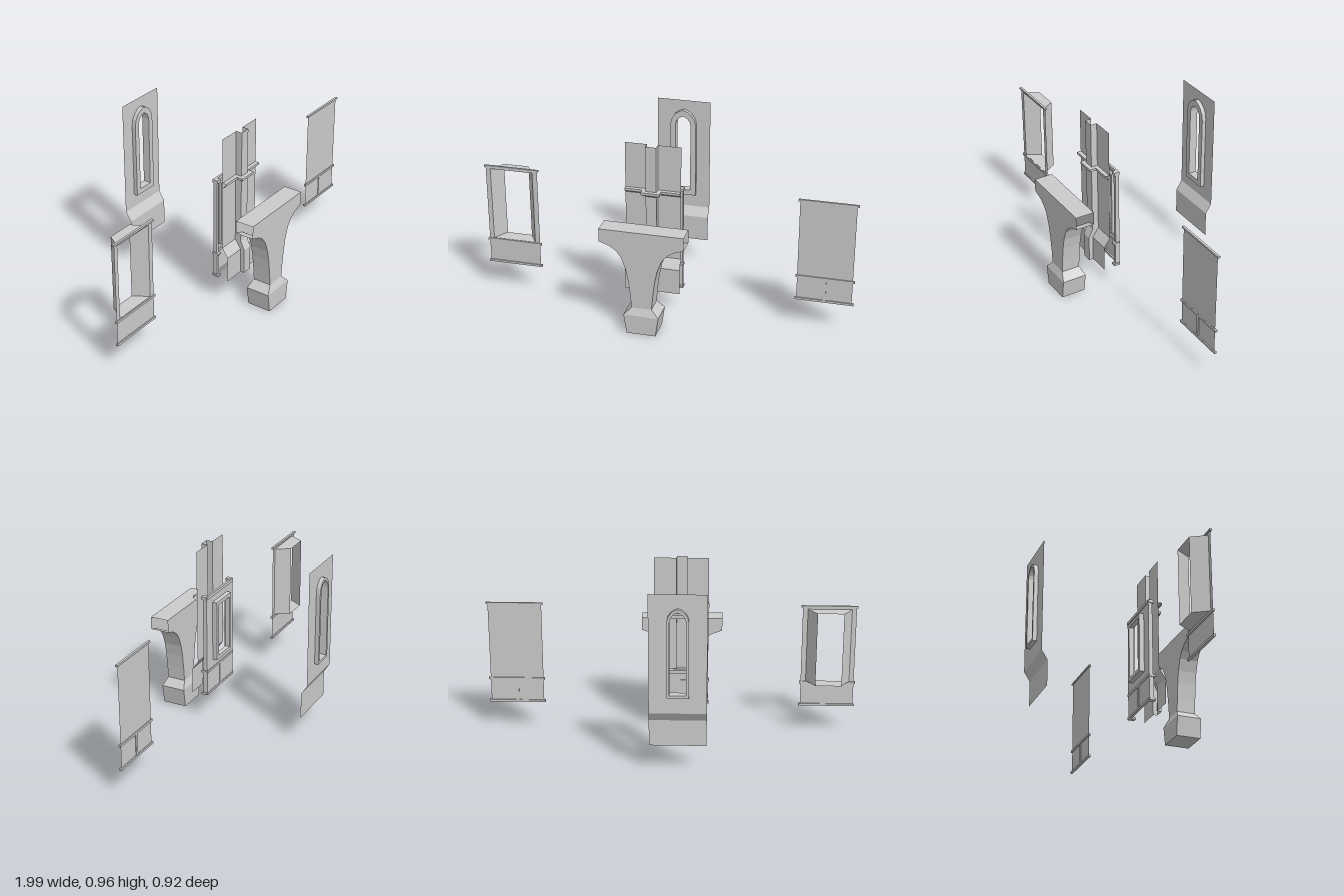
import * as THREE from 'three';

const material = new THREE.MeshStandardMaterial({ color: 0xcccccc, flatShading: true, side: THREE.DoubleSide });

function add(parent, name, geometry) {
  const mesh = new THREE.Mesh(geometry, material);
  mesh.name = name;
  parent.add(mesh);
  return mesh;
}

// Open surface through rows of [x, y, z] points
function loft(rows) {
  const pos = [];
  for (let i = 0; i < rows.length - 1; i++) {
    for (let j = 0; j < rows[i].length - 1; j++) {
      const a = rows[i][j], b = rows[i][j + 1], c = rows[i + 1][j + 1], d = rows[i + 1][j];
      pos.push(...a, ...b, ...c, ...a, ...c, ...d);
    }
  }
  const g = new THREE.BufferGeometry();
  g.setAttribute('position', new THREE.Float32BufferAttribute(pos, 3));
  g.computeVertexNormals();
  return g;
}

// Thin sheet: a [y, z] profile carried from x0 to x1
const sheet = (profile, x0, x1) => loft([x0, x1].map(x => profile.map(([y, z]) => [x, y, z])));

function box(parent, name, x0, x1, y0, y1, z0, z1) {
  add(parent, name, new THREE.BoxGeometry(x1 - x0, y1 - y0, z1 - z0))
    .position.set((x0 + x1) / 2, (y0 + y1) / 2, (z0 + z1) / 2);
}

const rectPoints = (x0, x1, y0, y1) => [[x0, y0], [x1, y0], [x1, y1], [x0, y1]];
const toVectors = pts => pts.map(([x, y]) => new THREE.Vector2(x, y));

function holed(outer, inner) {
  const s = new THREE.Shape(toVectors(outer));
  s.holes.push(new THREE.Path(toVectors(inner)));
  return s;
}

function flat(shape, z) {
  return new THREE.ShapeGeometry(shape).translate(0, 0, z);
}

function slab(shape, z0, z1) {
  return new THREE.ExtrudeGeometry(shape, { depth: z1 - z0, bevelEnabled: false }).translate(0, 0, z0);
}

// Window lining joining two rectangles at different depths
function lining(front, back, z0, z1) {
  const ring = (p, z) => [...p, p[0]].map(([x, y]) => [x, y, z]);
  return loft([ring(front, z0), ring(back, z1)]);
}

// Pointed-arch outline
function archPoints(cx, half, y0, spring, top) {
  const pts = [[cx - half, y0], [cx + half, y0]];
  const curve = [[1, 0], [0.9, 0.38], [0.66, 0.7], [0.34, 0.9]];
  curve.forEach(([u, v]) => pts.push([cx + half * u, spring + (top - spring) * v]));
  pts.push([cx, top]);
  curve.reverse().forEach(([u, v]) => pts.push([cx - half * u, spring + (top - spring) * v]));
  return pts;
}

const CX = -0.053, X0 = -0.2, X1 = 0.095;

function bracketPillar() {
  const g = new THREE.Group();
  g.name = 'bracketPillar';
  const cz = 0.393;
  // half width, height, half depth
  const levels = [
    [0.077, 0, 0.067], [0.093, 0.105, 0.067], [0.053, 0.145, 0.051], [0.06, 0.22, 0.051],
    [0.07, 0.3, 0.051], [0.083, 0.365, 0.051], [0.105, 0.425, 0.051], [0.13, 0.46, 0.051],
    [0.165, 0.485, 0.051], [0.222, 0.505, 0.051],
  ];
  const ring = ([w, y, d]) => [[-w, -d], [w, -d], [w, d], [-w, d], [-w, -d]].map(([x, z]) => [CX + x, y, cz + z]);
  add(g, 'pillarBody', loft(levels.map(ring)));
  const cap = (y, w, d) => loft([-d, d].map(z => [[CX - w, y, cz + z], [CX + w, y, cz + z]]));
  add(g, 'pillarFoot', cap(0, 0.077, 0.067));
  add(g, 'bracketTop', cap(0.575, 0.222, 0.051));
  for (const s of [-1, 1]) {
    add(g, 'bracketFace', sheet([[0.505, cz + s * 0.051], [0.575, cz + s * 0.051]], CX - 0.222, CX + 0.222));
  }
  return g;
}

function pilasterWall() {
  const g = new THREE.Group();
  g.name = 'pilasterWall';
  const a = -0.083, b = -0.027;
  const wall = [[0.14, 0.24], [0.28, 0.24], [0.33, 0.205], [0.96, 0.205]];
  const raised = [[0.14, 0.263], [0.28, 0.263], [0.33, 0.24], [0.96, 0.24]];
  add(g, 'wallRight', sheet(wall, X0, a));
  add(g, 'wallLeft', sheet(wall, b, X1));
  add(g, 'pilasterFace', sheet(raised, a, b));
  for (const x of [a, b]) {
    add(g, 'pilasterSide', loft([wall, raised].map(p => p.map(([y, z]) => [x, y, z]))));
  }
  // String course wrapping the pilaster
  const path = (o, y) => [[X0, 0.205], [a - o, 0.205], [a - o, 0.24], [b + o, 0.24], [b + o, 0.205], [X1, 0.205]]
    .map(([x, z]) => [x, y, z + o]);
  add(g, 'stringCourse', loft([path(0, 0.713), path(0.022, 0.713), path(0.022, 0.7), path(0, 0.685)]));
  return g;
}

function archedWindowWall() {
  const g = new THREE.Group();
  g.name = 'archedWindowWall';
  const z = -0.435;
  const opening = archPoints(CX, 0.042, 0.435, 0.82, 0.872);
  add(g, 'wall', flat(holed(rectPoints(X0, X1, 0.33, 0.96), opening), z));
  add(g, 'slopedBase', sheet([[0.14, -0.403], [0.28, -0.403], [0.33, z]], X0, X1));
  add(g, 'frontTrim', slab(holed(archPoints(CX, 0.072, 0.405, 0.82, 0.908), opening), z, -0.413));
  add(g, 'backTrim', slab(holed(archPoints(CX, 0.056, 0.42, 0.82, 0.888), opening), -0.457, z));
  return g;
}

function framedWindow() {
  const g = new THREE.Group();
  g.name = 'framedWindow';
  const z = 0.148;
  const hole = rectPoints(-0.135, 0.03, 0.33, 0.665);
  const inner = rectPoints(-0.115, 0.01, 0.35, 0.645);
  add(g, 'wall', flat(holed(rectPoints(X0, X1, 0.145, 0.712), hole), z));
  add(g, 'windowLining', lining(hole, hole, z, 0.122));
  add(g, 'windowBackRim', flat(holed(hole, inner), 0.122));
  add(g, 'windowReturn', lining(inner, inner, 0.122, z));
  add(g, 'frontFrame', slab(holed(rectPoints(-0.15, 0.045, 0.315, 0.68), hole), z, 0.163));
  // Edge posts with stepped caps and feet
  for (const [p, q] of [[X0, X0 + 0.016], [X1 - 0.016, X1]]) {
    box(g, 'post', p, q, 0.29, 0.705, z, 0.17);
    box(g, 'lowerPost', p, q, 0.145, 0.28, z, 0.173);
    box(g, 'postCap', p - 0.005, q + 0.005, 0.702, 0.719, z, 0.178);
    box(g, 'postBand', p - 0.005, q + 0.005, 0.276, 0.288, z, 0.182);
    box(g, 'postFoot', p - 0.005, q + 0.005, 0.145, 0.157, z, 0.182);
  }
  box(g, 'cornice', X0, X1, 0.7, 0.717, z - 0.004, z + 0.008);
  box(g, 'middleRail', X0, X1, 0.276, 0.288, z - 0.004, z + 0.008);
  box(g, 'bottomRail', X0, X1, 0.145, 0.157, z - 0.004, z + 0.008);
  box(g, 'divider', CX - 0.007, CX + 0.007, 0.157, 0.276, z - 0.003, z + 0.007);
  return g;
}

// Thin rails shared by the two outer panels
function rails(g, x0, x1) {
  for (const [name, y0, y1] of [['topRail', 0.71, 0.72], ['middleRail', 0.278, 0.29], ['bottomRail', 0.148, 0.16]]) {
    box(g, name, x0, x1, y0, y1, 0.14, 0.152);
  }
}

function plainPanel() {
  const g = new THREE.Group();
  g.name = 'plainPanel';
  add(g, 'wall', flat(new THREE.Shape(toVectors(rectPoints(0.698, 0.987, 0.15, 0.715))), 0.146));
  rails(g, 0.69, 0.997);
  box(g, 'divider', 0.834, 0.851, 0.16, 0.278, 0.142, 0.15);
  return g;
}

function splayedWindow() {
  const g = new THREE.Group();
  g.name = 'splayedWindow';
  const hole = rectPoints(-0.965, -0.73, 0.292, 0.7);
  const back = rectPoints(-0.917, -0.778, 0.292, 0.7);
  add(g, 'wall', flat(holed(rectPoints(-0.99, -0.703, 0.15, 0.715), hole), 0.146));
  add(g, 'splayedLining', lining(hole, back, 0.146, 0.067));
  rails(g, -0.997, -0.695);
  return g;
}

export function createModel() {
  const model = new THREE.Group();
  model.name = 'wallModules';
  model.add(bracketPillar(), pilasterWall(), archedWindowWall(), framedWindow(), plainPanel(), splayedWindow());
  return model;
}
